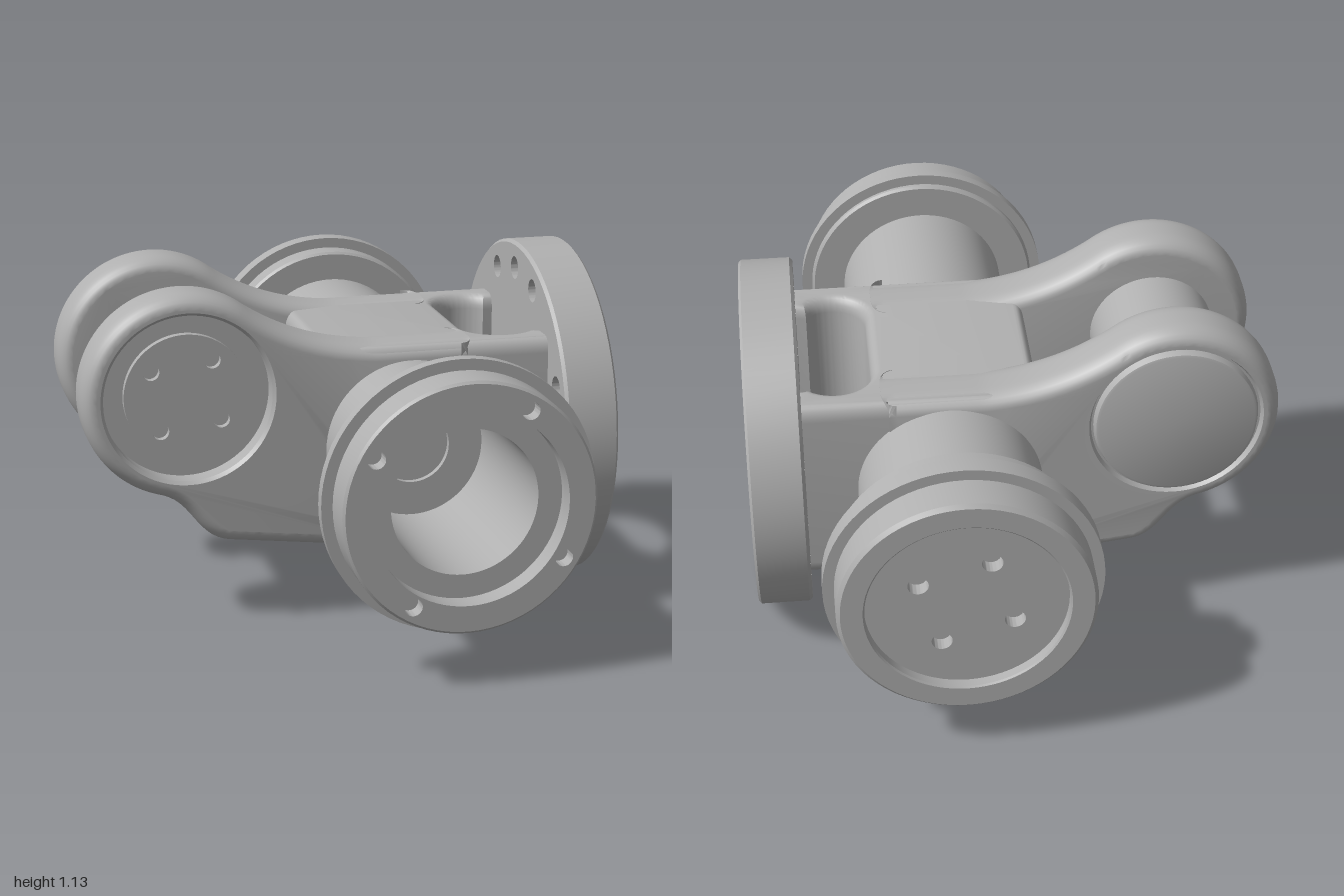
import * as THREE from 'three';
import { mergeGeometries, toCreasedNormals } from 'three/addons/utils/BufferGeometryUtils.js';

const steel = new THREE.MeshStandardMaterial({ color: 0xb0b0b0, side: THREE.DoubleSide });
steel.name = 'steel grey';
const MID = -0.025; // z of the body's middle plane
const DEG = Math.PI / 180;

function add(parent, name, geometry, x = 0, y = 0, z = 0) {
  const mesh = new THREE.Mesh(toCreasedNormals(geometry, 0.6), steel);
  mesh.name = name;
  mesh.position.set(x, y, z);
  parent.add(mesh);
  return mesh;
}

// Turned part about +y; profile is [radius, height] pairs
function turned(profile) {
  return new THREE.LatheGeometry(profile.map(([r, h]) => new THREE.Vector2(r, h)), 72);
}

// Round plate facing +z with optional bore and a list of bolt holes
function drilledPlate(radius, bore, holeCircle, holeRadius, angles, z0, z1) {
  const shape = new THREE.Shape().absarc(0, 0, radius, 0, Math.PI * 2, false);
  const cut = (x, y, r) => shape.holes.push(new THREE.Path().absarc(x, y, r, 0, Math.PI * 2, true));
  if (bore) cut(0, 0, bore);
  for (const a of angles) cut(holeCircle * Math.cos(a * DEG), holeCircle * Math.sin(a * DEG), holeRadius);
  const geo = new THREE.ExtrudeGeometry(shape, { depth: z1 - z0, bevelEnabled: false, curveSegments: 36 });
  return geo.translate(0, 0, z0);
}
const quarter = (first) => [0, 90, 180, 270].map((a) => a + first);

// Outline plate with rounded edges; holes are cut in the low or high face only
function roundedPlate(outline, z0, z1, inset, depth, holeOnHigh, hole) {
  const n = outline.length;
  const normals = outline.map((p, k) => {
    const t = outline[(k + 1) % n].clone().sub(outline[(k + n - 1) % n]).normalize();
    return new THREE.Vector2(t.y, -t.x);
  });
  const offset = (d) => outline.map((p, k) => p.clone().addScaledVector(normals[k], -d));
  const layers = [];
  for (let i = 0; i <= 6; i++) {
    const a = (i / 6) * Math.PI / 2;
    layers.push([inset * (1 - Math.sin(a)), depth * (1 - Math.cos(a))]);
  }
  const rings = [
    ...layers.map(([d, h]) => [d, z0 + h]),
    ...layers.slice().reverse().map(([d, h]) => [d, z1 - h]),
  ];
  const pos = [], index = [];
  rings.forEach(([d, z], j) => {
    offset(d).forEach((p) => pos.push(p.x, p.y, z));
    if (j === 0) return;
    for (let k = 0; k < n; k++) {
      const a = (j - 1) * n + k, b = (j - 1) * n + (k + 1) % n;
      index.push(a, b, b + n, a, b + n, a + n);
    }
  });
  const wall = new THREE.BufferGeometry();
  wall.setAttribute('position', new THREE.Float32BufferAttribute(pos, 3));
  wall.setIndex(index);
  const lid = (high) => {
    const shape = new THREE.Shape(offset(inset));
    if (high === holeOnHigh) shape.holes.push(hole);
    const geo = new THREE.ShapeGeometry(shape, 36);
    if (!high) geo.index.array.reverse();
    return geo.translate(0, 0, high ? z1 : z0);
  };
  const parts = [wall, lid(false), lid(true)].map((g) => {
    const flat = g.toNonIndexed();
    flat.deleteAttribute('normal');
    flat.deleteAttribute('uv');
    return flat;
  });
  return mergeGeometries(parts);
}

// Fork arms, cross pin and the pin's end details
function buildFork(group) {
  const px = -0.512, py = 0.77;
  const path = new THREE.Shape();
  path.moveTo(0.42, 0.9);
  path.lineTo(0.1, 0.9);
  path.bezierCurveTo(-0.06, 0.91, -0.193, 0.954, -0.323, 1.044);
  path.absarc(-0.515, py, 0.335, 55 * DEG, 255 * DEG, false);
  path.bezierCurveTo(-0.5, 0.42, -0.49, 0.3, -0.39, 0.28);
  path.lineTo(-0.035, 0.235);
  path.lineTo(0.42, 0.235);
  const outline = path.getSpacedPoints(140);
  const hole = new THREE.Path().absarc(px, py, 0.28, 0, Math.PI * 2, true);
  add(group, 'frontForkArm', roundedPlate(outline, 0.14, 0.337, 0.045, 0.07, true, hole));
  add(group, 'backForkArm', roundedPlate(outline, -0.392, -0.195, 0.045, 0.07, false, hole));

  const pin = new THREE.CylinderGeometry(0.205, 0.205, 0.36, 64).rotateX(Math.PI / 2);
  add(group, 'crossPin', pin, px, py, MID);
  const recess = turned([[0.28, 0.337], [0.27, 0.325], [0.27, 0.265], [0, 0.265]]);
  add(group, 'pinRecess', recess.rotateX(Math.PI / 2), px, py);
  add(group, 'pinEndPlate', drilledPlate(0.2, 0, 0.14, 0.027, quarter(53), 0.265, 0.29), px, py);
  const cap = turned([[0.28, 0.392], [0.272, 0.375], [0.265, 0.375], [0.258, 0.397], [0.25, 0.4], [0, 0.4]]);
  add(group, 'pinBackCap', cap.rotateX(-Math.PI / 2), px, py);
}

// Solid hub with a rounded vertical slot open toward the flange
function buildBody(group) {
  const plan = new THREE.Shape();
  plan.moveTo(-0.08, -0.36);
  plan.lineTo(0.72, -0.36);
  plan.lineTo(0.72, -0.24);
  plan.absarc(0.557, -0.15, 0.1125, -Math.PI / 4, -Math.PI, true);
  plan.absarc(0.557, 0.15, 0.1125, Math.PI, Math.PI / 4, true);
  plan.lineTo(0.72, 0.24);
  plan.lineTo(0.72, 0.36);
  plan.lineTo(-0.08, 0.36);
  const body = new THREE.ExtrudeGeometry(plan, {
    depth: 0.56, bevelThickness: 0.05, bevelSize: 0.035, bevelOffset: -0.035, bevelSegments: 6, curveSegments: 20,
  });
  add(group, 'hubBody', body.rotateX(-Math.PI / 2), 0, 0.287, MID);
}

// Side trunnions: open bearing seat in front, closed end at the back
function buildTrunnions(group) {
  const x = 0.21, y = 0.572;
  const front = turned([
    [0.28, 0.32], [0.28, 0.82], [0.387, 0.82], [0.395, 0.828], [0.395, 0.84], [0.43, 0.84], [0.43, 0.877],
    [0.395, 0.877], [0.395, 0.992], [0.387, 1], [0.387, 0.95], [0.305, 0.95], [0.305, 0.93],
    [0.23, 0.93], [0.23, 0.365], [0.12, 0.365], [0.12, 0.345], [0, 0.345],
  ]);
  add(group, 'frontTrunnion', front.rotateX(Math.PI / 2), x, y);
  add(group, 'frontTrunnionFace', drilledPlate(0.387, 0.305, 0.342, 0.028, quarter(59), 0.95, 1), x, y);

  const back = turned([
    [0.295, 0.37], [0.295, 0.735], [0.387, 0.735], [0.395, 0.743], [0.395, 0.815], [0.43, 0.815], [0.43, 0.877],
    [0.395, 0.877], [0.395, 0.988], [0.383, 1], [0.315, 1], [0.31, 0.995], [0.31, 0.92], [0, 0.92],
  ]);
  add(group, 'backTrunnion', back.rotateX(-Math.PI / 2), x, y);
  add(group, 'backTrunnionPlate', drilledPlate(0.31, 0, 0.165, 0.032, quarter(28), -0.965, -0.92), x, y);
}

// Mounting flange with raised rim, flared bore and bolt holes
function buildFlange(group) {
  const y = 0.567;
  const rim = turned([
    [0.54, 0.67], [0.557, 0.67], [0.567, 0.68], [0.567, 0.837], [0.559, 0.845],
    [0.545, 0.845], [0.545, 0.745], [0.54, 0.745],
  ]);
  add(group, 'flangeRim', rim.rotateZ(-Math.PI / 2), 0, y, MID);
  const bore = turned([
    [0.31, 0.745], [0.285, 0.742], [0.26, 0.732], [0.24, 0.713], [0.231, 0.69], [0.23, 0.67], [0.31, 0.67],
  ]);
  add(group, 'flangeBore', bore.rotateZ(-Math.PI / 2), 0, y, MID);
  const angles = [-22.5, 0, 22.5].flatMap(quarter);
  const plate = drilledPlate(0.545, 0.31, 0.48, 0.038, angles, 0.67, 0.745);
  add(group, 'flangePlate', plate.rotateY(Math.PI / 2), 0, y, MID);
}

export function createModel() {
  const group = new THREE.Group();
  group.name = 'forkedTrunnionJoint';
  buildFork(group);
  buildBody(group);
  buildTrunnions(group);
  buildFlange(group);
  return group;
}
